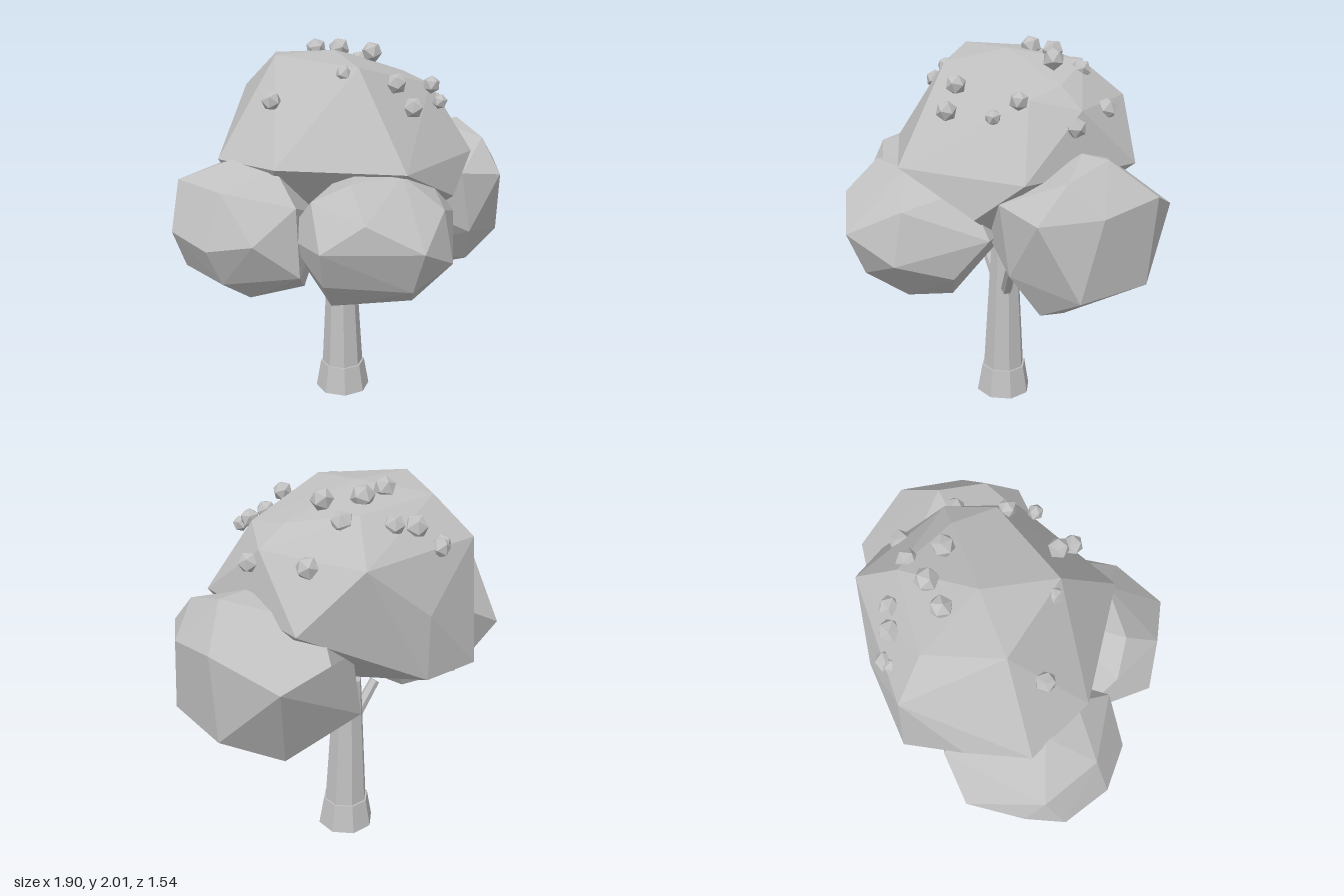
import * as THREE from 'three';
import { ConvexGeometry } from 'three/addons/geometries/ConvexGeometry.js';

const V = (p) => new THREE.Vector3(...p);

export function createModel() {
  const tree = new THREE.Group();
  tree.name = 'tree';
  const grey = new THREE.MeshStandardMaterial({ color: 0xc0c0c0, flatShading: true });
  grey.name = 'plain grey';

  const add = (name, geometry, parent = tree) => {
    const mesh = new THREE.Mesh(geometry, grey);
    mesh.name = name;
    parent.add(mesh);
    return mesh;
  };

  // Faceted leaf mass: hull around a few corner points
  const clump = (name, corners) => add(name, new ConvexGeometry(corners.map(V)));

  // Tapered limb between two points, with a flat side facing forward
  const limb = (name, from, to, r0, r1, sides) => {
    const a = V(from), b = V(to), dir = b.clone().sub(a);
    const mesh = add(name, new THREE.CylinderGeometry(r1, r0, dir.length(), sides));
    mesh.position.copy(a).add(b).multiplyScalar(0.5);
    mesh.quaternion.setFromUnitVectors(new THREE.Vector3(0, 1, 0), dir.normalize());
    mesh.rotateY(Math.PI / sides);
  };

  // Trunk, flared foot and branches
  limb('trunkFoot', [0.03, 0, -0.18], [0.03, 0.16, -0.18], 0.155, 0.127, 8);
  limb('trunk', [0.03, 0.15, -0.18], [0.025, 0.9, -0.18], 0.118, 0.075, 8);
  limb('leftBranch', [0.07, 0.63, -0.16], [0.25, 0.85, -0.04], 0.033, 0.028, 6);
  limb('rightBranch', [-0.01, 0.62, -0.18], [-0.16, 0.83, -0.19], 0.033, 0.028, 6);

  clump('topFoliage', [
    // crown
    [-0.34, 1.96, -0.19], [0, 1.965, -0.2], [-0.19, 1.93, -0.53], [0.24, 1.9, -0.51],
    [-0.05, 1.92, 0.16], [0.42, 1.83, -0.2], [0.45, 1.79, 0.03],
    // shoulders
    [0.57, 1.73, -0.2], [0.36, 1.72, -0.7], [-0.31, 1.74, -0.69],
    // widest ring
    [0.62, 1.44, 0.19], [0.03, 1.45, 0.5], [-0.51, 1.46, 0.15], [-0.67, 1.46, -0.19],
    [-0.53, 1.42, -0.48], [0.03, 1.45, -0.77], [0.62, 1.43, -0.54],
    // underside
    [-0.31, 1.11, -0.75], [0.02, 1.12, -0.76], [0.42, 1.25, 0.33],
    [-0.02, 0.9, -0.2], [-0.4, 1.07, -0.2], [0.35, 1.05, 0.05],
  ]);

  clump('leftFoliage', [
    // top
    [0.78, 1.54, -0.18], [0.62, 1.54, -0.16], [0.45, 1.44, -0.5], [0.78, 1.47, 0.07],
    // middle
    [0.95, 1.37, -0.35], [0.93, 1.32, -0.02], [0.78, 1.24, -0.64], [0.52, 1.31, -0.66],
    [0.52, 1.34, 0.26], [0.78, 1.3, 0.25], [0.22, 1.2, -0.45], [0.2, 1.2, 0.15],
    // bottom
    [0.92, 0.92, -0.34], [0.9, 0.92, 0.08], [0.59, 1, 0.25], [0.3, 0.97, -0.61],
    [0.63, 0.76, -0.45], [0.67, 0.79, 0.12], [0.25, 0.83, -0.1], [0.52, 0.66, -0.18],
  ]);

  clump('rightFoliage', [
    // top
    [-0.88, 1.38, -0.2], [-0.6, 1.48, -0.1], [-0.4, 1.47, -0.3], [-0.77, 1.37, 0.1],
    [-0.48, 1.45, 0.1],
    // middle
    [-0.955, 1.14, -0.115], [-0.88, 1.18, -0.3], [-0.71, 1.15, -0.545], [-0.46, 1.28, -0.57],
    [-0.87, 1.1, 0.14], [-0.69, 1.14, 0.29], [-0.46, 1.3, 0.29],
    [-0.1, 1.1, -0.1], [-0.1, 1.1, -0.35],
    // bottom
    [-0.86, 0.91, -0.22], [-0.78, 0.9, 0.1], [-0.46, 0.95, 0.32], [-0.45, 0.92, -0.5],
    [-0.61, 0.77, 0.03], [-0.6, 0.78, -0.28], [-0.29, 0.76, 0], [-0.28, 0.8, -0.28],
  ]);

  clump('frontFoliage', [
    // top
    [0.03, 1.44, 0.46], [-0.25, 1.43, 0.45], [0.3, 1.36, 0.28], [-0.41, 1.34, 0.35],
    [0, 1.45, 0.1],
    // middle
    [-0.03, 1.145, 0.77], [-0.27, 1.28, 0.63], [0.19, 1.28, 0.59], [-0.455, 1.14, 0.53],
    [0.21, 1.02, 0.65], [0.465, 1.145, 0.27], [-0.46, 1.12, 0.15],
    [-0.25, 1.1, -0.05], [0.25, 1.1, -0.05],
    // bottom
    [-0.03, 0.92, 0.67], [-0.4, 0.94, 0.45], [0.35, 0.94, 0.4],
    [0.2, 0.79, 0.3], [-0.28, 0.76, 0.3], [0.08, 0.79, 0.49], [0, 0.8, 0.08],
  ]);

  // Small fruits on the crown: x, y, z, radius
  const fruits = new THREE.Group();
  fruits.name = 'fruits';
  tree.add(fruits);
  [
    [-0.09, 1.73, -0.685, 0.052], [-0.125, 1.74, -0.665, 0.045], [0, 1.83, -0.62, 0.058],
    [0.105, 1.85, -0.59, 0.052], [-0.02, 1.955, -0.38, 0.057], [0.13, 1.945, -0.4, 0.06],
    [0.29, 1.865, -0.45, 0.056], [0.485, 1.695, -0.45, 0.057], [0.27, 1.93, -0.28, 0.057],
    [0.59, 1.66, -0.145, 0.052], [-0.43, 1.76, -0.045, 0.052], [-0.105, 1.89, 0.11, 0.045],
    [0.43, 1.79, 0.075, 0.048], [0.4, 1.725, 0.205, 0.04], [0.13, 1.84, 0.22, 0.053],
    [0.175, 1.73, 0.31, 0.053],
  ].forEach(([x, y, z, r], i) => {
    const fruit = add('fruit', new THREE.IcosahedronGeometry(r, 0), fruits);
    fruit.position.set(x, y, z);
    fruit.rotation.set(i * 0.7, i * 1.3, 0);
  });

  return tree;
}
